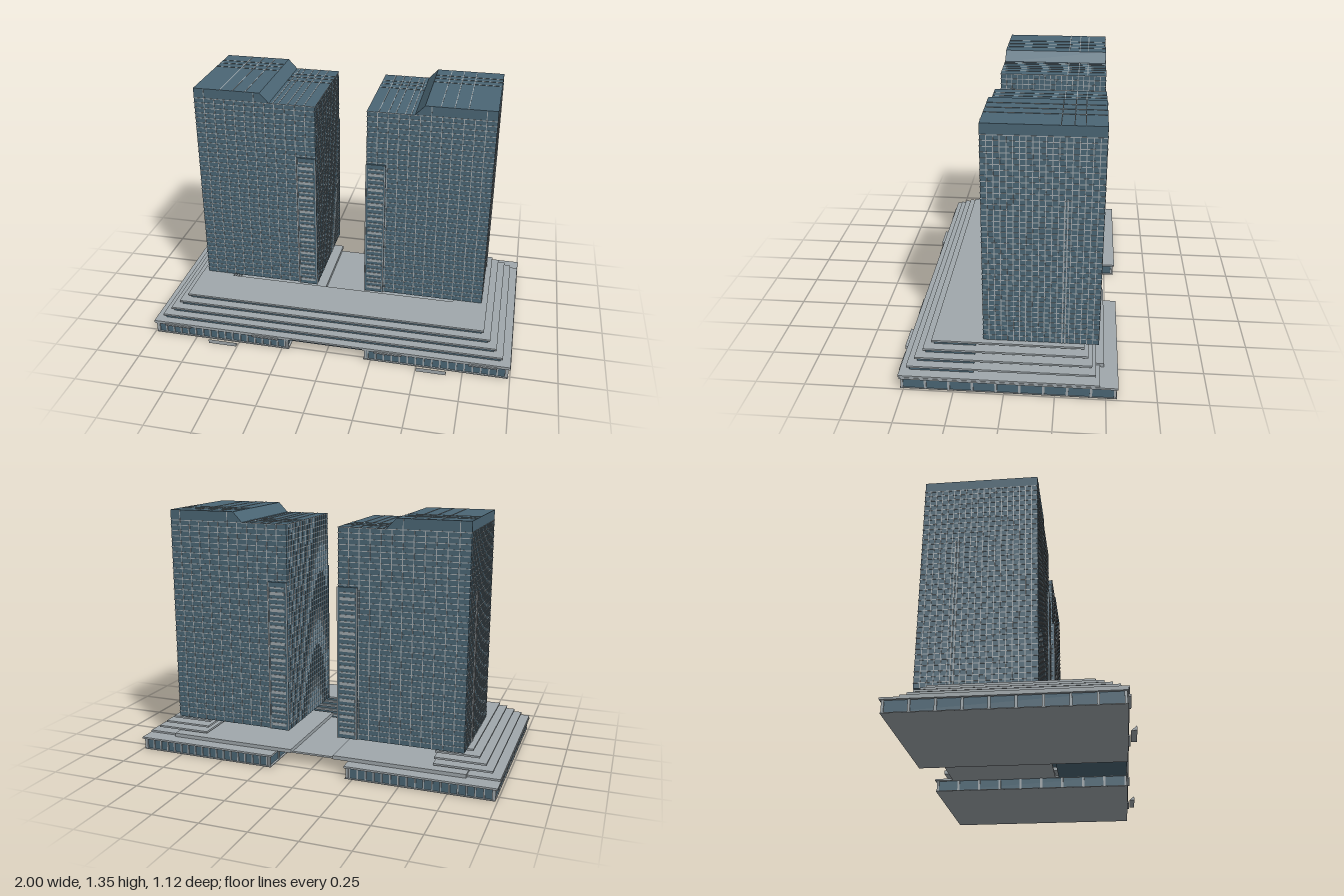
import * as THREE from 'three';
import { mergeGeometries } from 'three/addons/utils/BufferGeometryUtils.js';

const concrete = new THREE.MeshStandardMaterial({ color: 0xa0a8ac });
concrete.name = 'pale concrete';
const glass = new THREE.MeshStandardMaterial({ color: 0x4b6675 });
glass.name = 'blue grey glass';

// Box given by its lower and upper limits (x limits may be swapped by mirroring)
function box(x0, x1, y0, y1, z0, z1) {
  const g = new THREE.BoxGeometry(Math.abs(x1 - x0), y1 - y0, z1 - z0);
  return g.translate((x0 + x1) / 2, (y0 + y1) / 2, (z0 + z1) / 2);
}

function part(parent, name, geometries, material) {
  const mesh = new THREE.Mesh(mergeGeometries(geometries), material);
  mesh.name = name;
  parent.add(mesh);
}

// Evenly spaced values strictly between a and b
function between(a, b, n) {
  return Array.from({ length: n - 1 }, (_, i) => a + ((b - a) * (i + 1)) / n);
}

const BACK = -0.46, FRONT = 0.12, FOOT = 0.187, ROOF = 1.29, CROWN = 1.343;
const IN = 0.14, OUT = 0.81;
const W = 0.002, D = 0.002; // half width and projection of the glazing bars

function tower(s) {
  const g = new THREE.Group();
  g.name = s > 0 ? 'leftTower' : 'rightTower';

  // Body with a raised, chamfered crown on the outer half
  const outline = [[IN, FOOT], [OUT, FOOT], [OUT, CROWN], [0.44, CROWN], [0.39, ROOF], [IN, ROOF]];
  const body = new THREE.ExtrudeGeometry(
    new THREE.Shape(outline.map(([x, y]) => new THREE.Vector2(s * x, y))),
    { depth: FRONT - BACK, bevelEnabled: false });
  part(g, 'towerBody', [body.translate(0, 0, BACK)], glass);

  // Glazing bars round the four sides
  const bars = [];
  for (const y of [...between(FOOT, ROOF, 38), ROOF - W]) {
    bars.push(box(s * (IN - D), s * (OUT + D), y - W, y + W, FRONT, FRONT + D));
    bars.push(box(s * (IN - D), s * (OUT + D), y - W, y + W, BACK - D, BACK));
    bars.push(box(s * OUT, s * (OUT + D), y - W, y + W, BACK, FRONT));
    bars.push(box(s * (IN - D), s * IN, y - W, y + W, BACK, FRONT));
  }
  for (const x of between(IN, OUT, 12)) {
    const top = x > 0.7 || (x > 0.44 && x < 0.52) ? CROWN : ROOF;
    bars.push(box(s * (x - W), s * (x + W), FOOT, top, FRONT, FRONT + D));
    bars.push(box(s * (x - W), s * (x + W), FOOT, top, BACK - D, BACK));
  }
  for (const z of between(BACK, FRONT, 19)) {
    bars.push(box(s * OUT, s * (OUT + D), FOOT, ROOF, z - W, z + W));
    bars.push(box(s * (IN - D), s * IN, FOOT, ROOF, z - W, z + W));
  }
  part(g, 'glazingBars', bars, concrete);

  // Bars across the two roof levels
  const roofBars = [];
  for (const x of [0.2, 0.25, 0.29, 0.34, 0.37]) {
    roofBars.push(box(s * (x - W), s * (x + W), ROOF, ROOF + D, BACK, FRONT));
  }
  for (const x of [0.52, 0.59, 0.66]) {
    roofBars.push(box(s * (x - W), s * (x + W), CROWN, CROWN + D, BACK, FRONT));
  }
  for (const z of [-0.36, -0.31, -0.25]) {
    roofBars.push(box(s * IN, s * 0.39, ROOF, ROOF + D, z - W, z + W));
    roofBars.push(box(s * 0.44, s * OUT, CROWN, CROWN + D, z - W, z + W));
  }
  part(g, 'roofBars', roofBars, concrete);

  // Balcony bays at the inner corners, front and back
  const bays = [], rails = [];
  for (const [z0, z1, r0, r1] of [[FRONT, 0.128, 0.128, 0.131], [-0.468, BACK, -0.471, -0.468]]) {
    bays.push(box(s * 0.138, s * 0.245, FOOT, 0.99, z0, z1));
    for (const x of [0.14, 0.243]) rails.push(box(s * (x - 0.003), s * (x + 0.003), FOOT, 0.99, r0, r1));
    between(FOOT, 0.99, 27).forEach((y, i) => {
      const h = i % 3 ? 0.004 : 0.008;
      rails.push(box(s * 0.152, s * 0.235, y - h, y + h, r0, r1));
    });
  }
  part(g, 'balconyBays', bays, glass);
  part(g, 'balconyRails', rails, concrete);

  // Paired ribs on the outer side
  part(g, 'sideRibs', [-0.275, -0.29].map((z) =>
    box(s * OUT, s * (OUT + 0.005), FOOT, 0.98, z - 0.003, z + 0.003)), concrete);
  return g;
}

function groundStorey(s) {
  const g = new THREE.Group();
  g.name = s > 0 ? 'leftGroundStorey' : 'rightGroundStorey';
  part(g, 'groundGlass', [box(s * 0.222, s * 0.985, 0.004, 0.06, -0.545, 0.508)], glass);
  part(g, 'floorAndRoofSlabs', [
    box(s * 0.21, s * 0.99, 0, 0.004, -0.555, 0.518),
    box(s * 0.205, s * 1, 0.06, 0.07, -0.56, 0.52)], concrete);

  // Columns on the sides and along the front and back
  const columns = [];
  for (let i = 0; i < 10; i++) {
    const z = 0.508 - (i * 1.053) / 9;
    columns.push(box(s * 0.98, s * 0.99, 0, 0.06, z - 0.006, z + 0.006));
    columns.push(box(s * 0.215, s * 0.227, 0, 0.06, z - 0.006, z + 0.006));
  }
  for (const x of between(0.19, 1.02, 19)) {
    for (const z of [-0.545, 0.508]) {
      columns.push(box(s * (x - 0.004), s * (x + 0.004), 0, 0.06, z - 0.006, z + 0.006));
    }
  }
  part(g, 'columns', columns, concrete);

  // Canopy lips and a sloping entrance wedge
  part(g, 'canopyLips', [[0.27, 0.42], [0.78, 0.93]].map(([a, b]) =>
    box(s * a, s * b, 0.06, 0.068, 0.5, 0.532)), concrete);
  const wedge = new THREE.ExtrudeGeometry(new THREE.Shape([
    new THREE.Vector2(-0.53, 0), new THREE.Vector2(-0.558, 0), new THREE.Vector2(-0.558, 0.024)]),
  { depth: 0.16, bevelEnabled: false });
  wedge.rotateY(Math.PI / 2).translate(s * 0.585 - 0.08, 0, 0);
  part(g, 'entranceWedge', [wedge], concrete);

  // Pad beneath the raised tower
  part(g, 'towerPad', [box(s * 0.12, s * 0.83, 0.07, 0.09, -0.49, 0.14)], concrete);
  return g;
}

function terraces() {
  const g = new THREE.Group();
  g.name = 'terraces';
  // top, half width, front and back of each U-shaped step
  const steps = [
    [0.08, 0.998, 0.525, -0.47], [0.108, 0.955, 0.49, -0.45], [0.135, 0.918, 0.455, -0.43],
    [0.162, 0.88, 0.418, -0.41], [0.188, 0.842, 0.38, -0.39]];
  const slabs = [], walls = [];
  steps.forEach(([y, w, front, back], i) => {
    slabs.push(box(-w, w, y - 0.01, y, 0.14, front));
    for (const s of [-1, 1]) slabs.push(box(s * 0.65, s * w, y - 0.01, y, back, 0.14));
    if (i) walls.push(box(0.012 - w, w - 0.012, steps[i - 1][0], y - 0.01, 0.155, front - 0.012));
  });
  walls.push(box(-0.205, 0.205, 0.058, 0.07, 0.14, 0.515));
  part(g, 'terraceSlabs', slabs, concrete);
  part(g, 'terraceGlass', walls, glass);
  part(g, 'middleDeck', [box(-0.205, 0.205, 0.06, 0.07, BACK, 0.12)], concrete);
  return g;
}

export function createModel() {
  const model = new THREE.Group();
  model.name = 'twinTowerBuilding';
  model.add(terraces());
  for (const s of [-1, 1]) model.add(groundStorey(s), tower(s));
  return model;
}
